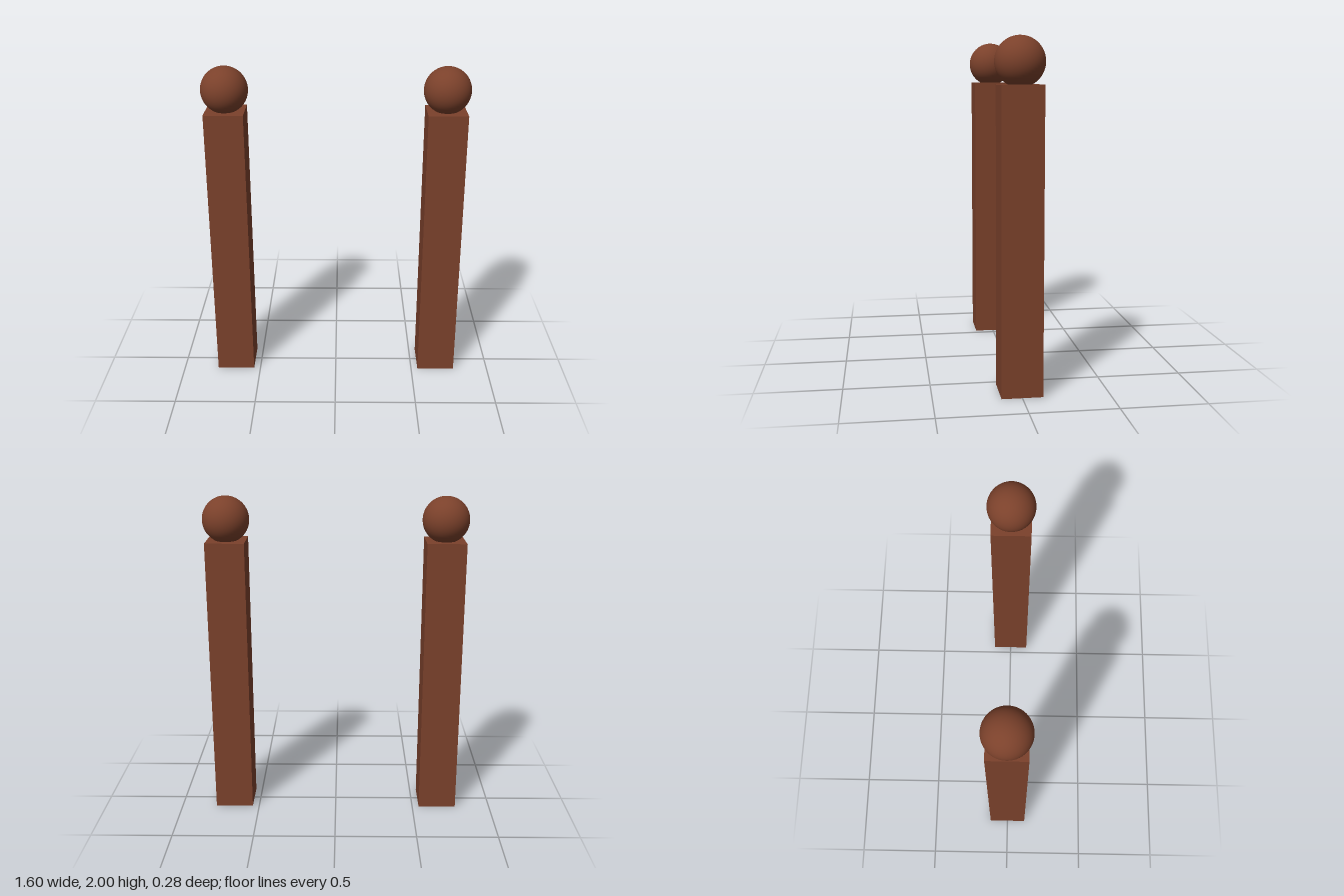
import * as THREE from 'three';

const POST_WIDTH = 0.236;
const POST_HEIGHT = 1.735;
const BALL_RADIUS = 0.141;
const POST_X = 0.66;

export function createModel() {
  const model = new THREE.Group();
  model.name = 'gatePosts';
  const wood = new THREE.MeshStandardMaterial({ color: 0x7b412b });

  // Square post and the ball finial sunk slightly into its top
  const postGeometry = new THREE.BoxGeometry(POST_WIDTH, POST_HEIGHT, POST_WIDTH);
  const ballGeometry = new THREE.SphereGeometry(BALL_RADIUS, 48, 32);

  for (const [side, sign] of [['left', 1], ['right', -1]]) {
    const group = new THREE.Group();
    group.name = `${side}GatePost`;
    group.position.x = sign * POST_X;

    const post = new THREE.Mesh(postGeometry, wood);
    post.name = `${side}Post`;
    post.position.y = POST_HEIGHT / 2;

    const ball = new THREE.Mesh(ballGeometry, wood);
    ball.name = `${side}BallFinial`;
    ball.position.y = 2 - BALL_RADIUS;

    group.add(post, ball);
    model.add(group);
  }
  return model;
}
